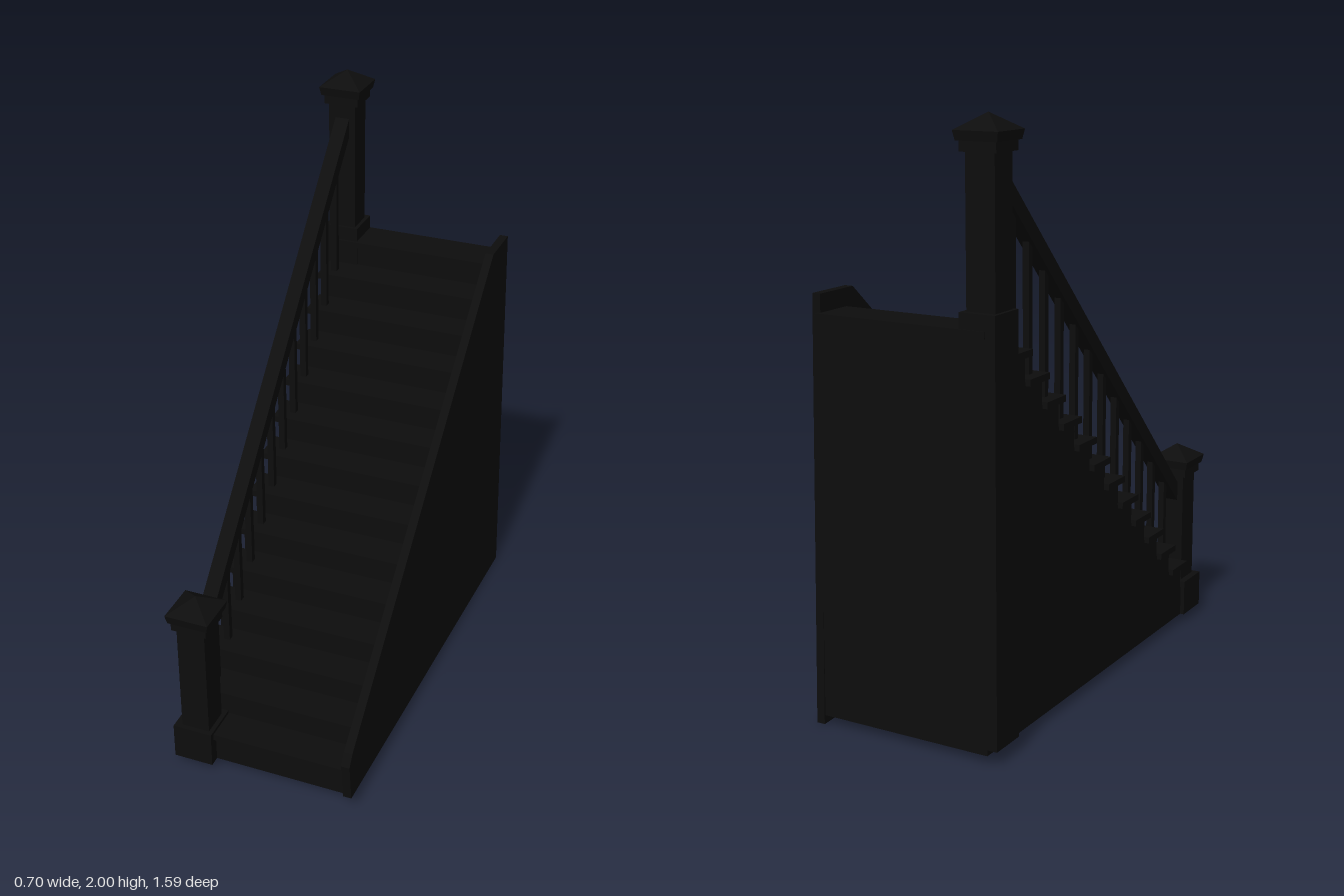
import * as THREE from 'three';

const STEPS = 14, RUN = 0.1077, RISE = 0.094;
const FRONT = 0.76, FIRST = 0.148, BACK = -0.785, FLOOR = 0.03;

const material = new THREE.MeshStandardMaterial({ color: 0x0d0d0d, flatShading: true });

function part(name, geometry, parent) {
  const mesh = new THREE.Mesh(geometry, material);
  mesh.name = name;
  parent.add(mesh);
  return mesh;
}

// Box given by its minimum and maximum corners
function box(name, parent, x0, x1, y0, y1, z0, z1) {
  part(name, new THREE.BoxGeometry(x1 - x0, y1 - y0, z1 - z0), parent)
    .position.set((x0 + x1) / 2, (y0 + y1) / 2, (z0 + z1) / 2);
}

// Side profile of [z, y] points, extruded along x from x0 to x1
function sideProfile(points, x0, x1) {
  const shape = new THREE.Shape(points.map(([z, y]) => new THREE.Vector2(-z, y)));
  const g = new THREE.ExtrudeGeometry(shape, { depth: x1 - x0, bevelEnabled: false });
  return g.rotateY(Math.PI / 2).translate(x0, 0, 0);
}

// Shift each vertex along x by a rule of its height and depth
function shiftX(geometry, rule) {
  const p = geometry.attributes.position;
  for (let i = 0; i < p.count; i++) p.setX(i, p.getX(i) + rule(p.getY(i), p.getZ(i)));
  geometry.computeVertexNormals();
  return geometry;
}

// Square post with collar, slab and pyramid cap
function newel(name, parent, x, z, bottom, top) {
  const g = new THREE.Group();
  g.name = name;
  const block = (n, half, y0, y1) => box(n, g, -half, half, y0, y1, -half, half);
  block('shaft', 0.05, bottom, top - 0.1);
  block('collar', 0.063, top - 0.112, top - 0.075);
  const frustum = (n, r0, r1, y0, y1) => {
    const geo = new THREE.CylinderGeometry(r1 * Math.SQRT2, r0 * Math.SQRT2, y1 - y0, 4);
    part(n, geo.rotateY(Math.PI / 4), g).position.y = (y0 + y1) / 2;
  };
  frustum('capSlab', 0.071, 0.077, top - 0.08, top - 0.05);
  frustum('capPyramid', 0.077, 0, top - 0.05, top);
  g.position.set(x, 0, z);
  parent.add(g);
}

export function createModel() {
  const model = new THREE.Group();
  model.name = 'staircase';

  // Solid stepped body
  const outline = [[BACK, FLOOR], [FRONT - 0.018, FLOOR]];
  for (let i = 0; i < STEPS; i++) {
    const riser = FRONT - 0.018 - i * RUN, y = FIRST + i * RISE - 0.01;
    outline.push([riser, y], [i < STEPS - 1 ? riser - RUN : BACK, y]);
  }
  part('stairBody', sideProfile(outline, -0.305, 0.315), model);

  // Treads with nosing over the front and the open side
  for (let i = 0; i < STEPS; i++) {
    const z = FRONT - i * RUN, y = FIRST + i * RISE;
    const back = i < STEPS - 1 ? z - RUN - 0.015 : BACK - 0.005;
    const left = i === 0 || i === STEPS - 1 ? -0.305 : -0.323;
    box('tread', model, left, 0.305, y - 0.022, y, back, z);
  }

  // Closed stringer wall, leaning slightly
  const wall = sideProfile([[-0.79, 0], [0.785, 0.06], [0.797, 0.2], [0.77, 0.24],
    [-0.605, 1.43], [-0.775, 1.43]], 0.315, 0.345);
  part('stringerWall', shiftX(wall, (y, z) => -0.0076 * (z + 0.79) - 0.014 * y), model);

  // Newel posts and their bases
  box('frontNewelBase', model, -0.32, -0.18, FLOOR, 0.16, 0.64, 0.78);
  newel('frontNewel', model, -0.245, 0.712, 0.1, 0.68);
  box('backNewelBase', model, -0.34, -0.215, 0.05, 1.42, -0.785, -0.65);
  newel('backNewel', model, -0.278, -0.712, 1.36, 2);

  // Sloping handrail
  const railX = z => -0.262 + 0.023 * z;
  const railTop = z => 0.54 + (0.665 - z) * 0.977;
  const rail = sideProfile([[0.67, railTop(0.67) - 0.07], [0.67, railTop(0.67)],
    [-0.67, railTop(-0.67)], [-0.67, railTop(-0.67) - 0.07]], -0.026, 0.026);
  part('handrail', shiftX(rail, (y, z) => railX(z)), model);

  // One baluster on each tread between the newels
  for (let i = 1; i <= 12; i++) {
    const z = 0.58 - (i - 1) * 0.1057, x = railX(z);
    box('baluster', model, x - 0.011, x + 0.011, FIRST + i * RISE - 0.01,
      railTop(z) - 0.04, z - 0.011, z + 0.011);
  }
  return model;
}
